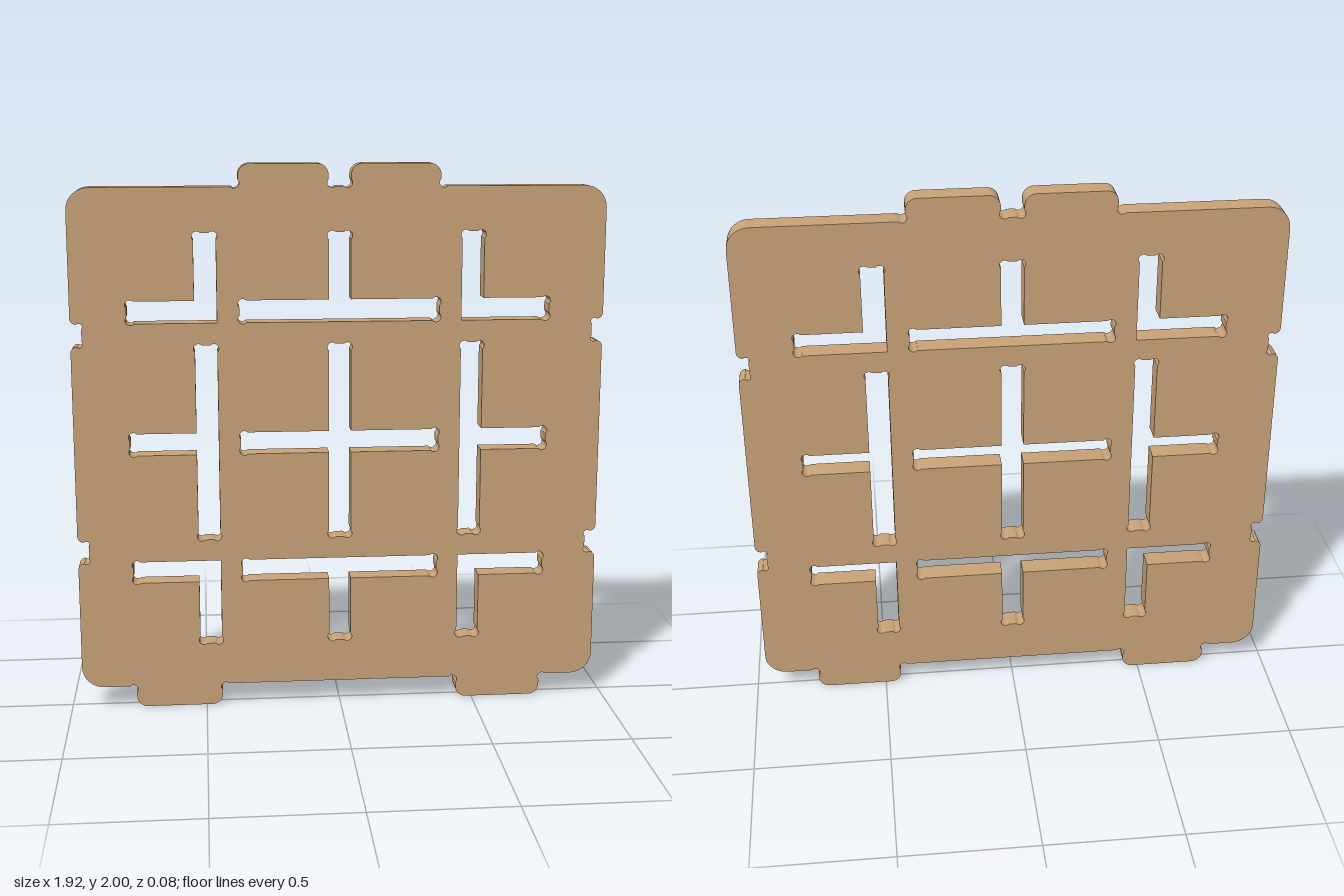
import * as THREE from 'three';
import { toCreasedNormals } from 'three/addons/utils/BufferGeometryUtils.js';

const THICK = 0.08;
const BONE = -0.0177;      // negative radius: round relief cut at an inner corner
const NOTCH_BONE = -0.0125;
const TAB = 0.04;          // positive radius: rounded corner
const LIP = 0.022;

// Turns right-angled corners [x, y, radius] into a smooth outline
function outline(corners) {
  const pts = [];
  const n = corners.length;
  corners.forEach(([x, y, r = 0], i) => {
    const p = new THREE.Vector2(x, y);
    if (r === 0) { pts.push(p); return; }
    const toward = (c) => new THREE.Vector2(c[0], c[1]).sub(p).normalize();
    const u = toward(corners[(i + n - 1) % n]);
    const v = toward(corners[(i + 1) % n]);
    const relief = r < 0;
    const steps = relief ? 10 : 8;
    const d = relief ? -r / Math.SQRT2 : r;
    const centre = p.clone().addScaledVector(u, d).addScaledVector(v, d);
    // Reliefs are half circles through the corner, fillets are quarter circles
    const a = relief ? u.clone().sub(v).multiplyScalar(d) : v.clone().multiplyScalar(-d);
    const b = relief ? u.clone().add(v).multiplyScalar(-d) : u.clone().multiplyScalar(-d);
    for (let k = 0; k <= steps; k++) {
      const t = (k / steps) * (relief ? Math.PI : Math.PI / 2);
      pts.push(centre.clone().addScaledVector(a, Math.cos(t)).addScaledVector(b, Math.sin(t)));
    }
  });
  return pts;
}

const mirrorX = (c) => c.map(([x, y, r]) => [-x, y, r]).reverse();
const mirrorY = (c) => c.map(([x, y, r]) => [x, 2 - y, r]).reverse();

// Edge notch on the right side, centred on height y
const notch = (y) => [
  [0.96, y - 0.04, LIP], [0.92, y - 0.04, NOTCH_BONE],
  [0.92, y + 0.04, NOTCH_BONE], [0.96, y + 0.04, LIP],
];

export function createModel() {
  const group = new THREE.Group();
  group.name = 'slottedPanel';
  const wood = new THREE.MeshStandardMaterial({ color: 0xc8a278 });
  wood.name = 'plywood';

  // Right half of the panel edge, bottom to top, then mirrored
  const half = [
    [0.44, 0.08, BONE], [0.44, 0, TAB], [0.76, 0, TAB], [0.76, 0.08, BONE],
    [0.96, 0.08, 0.08], ...notch(0.6), ...notch(1.4), [0.96, 1.92, 0.08],
    [0.36, 1.92, BONE], [0.36, 2, TAB], [0.04, 2, TAB], [0.04, 1.92, BONE],
  ];
  const shape = new THREE.Shape(outline([...half, ...mirrorX(half)]));

  // L slots in the four corners
  const cornerSlot = [
    [0.44, 1.44], [0.76, 1.44, BONE], [0.76, 1.52, BONE], [0.52, 1.52],
    [0.52, 1.76, BONE], [0.44, 1.76, BONE],
  ];
  // T slots at top and bottom
  const topSlot = [
    [-0.36, 1.44, BONE], [0.36, 1.44, BONE], [0.36, 1.52, BONE], [0.04, 1.52],
    [0.04, 1.76, BONE], [-0.04, 1.76, BONE], [-0.04, 1.52], [-0.36, 1.52, BONE],
  ];
  // T slots on both sides
  const sideSlot = [
    [0.44, 0.64, BONE], [0.52, 0.64, BONE], [0.52, 0.96], [0.76, 0.96, BONE],
    [0.76, 1.04, BONE], [0.52, 1.04], [0.52, 1.36, BONE], [0.44, 1.36, BONE],
  ];
  // Cross slot in the middle
  const crossHalf = [
    [0.04, 0.64, BONE], [0.04, 0.96], [0.36, 0.96, BONE],
    [0.36, 1.04, BONE], [0.04, 1.04], [0.04, 1.36, BONE],
  ];
  const slots = [
    cornerSlot, mirrorX(cornerSlot), mirrorY(cornerSlot), mirrorX(mirrorY(cornerSlot)),
    topSlot, mirrorY(topSlot), sideSlot, mirrorX(sideSlot),
    [...crossHalf, ...mirrorX(crossHalf)],
  ];
  for (const slot of slots) shape.holes.push(new THREE.Path(outline(slot)));

  const geometry = new THREE.ExtrudeGeometry(shape, { depth: THICK, bevelEnabled: false });
  geometry.translate(0, 0, -THICK / 2);
  const panel = new THREE.Mesh(toCreasedNormals(geometry, 0.6), wood);
  panel.name = 'panel';
  group.add(panel);
  return group;
}
